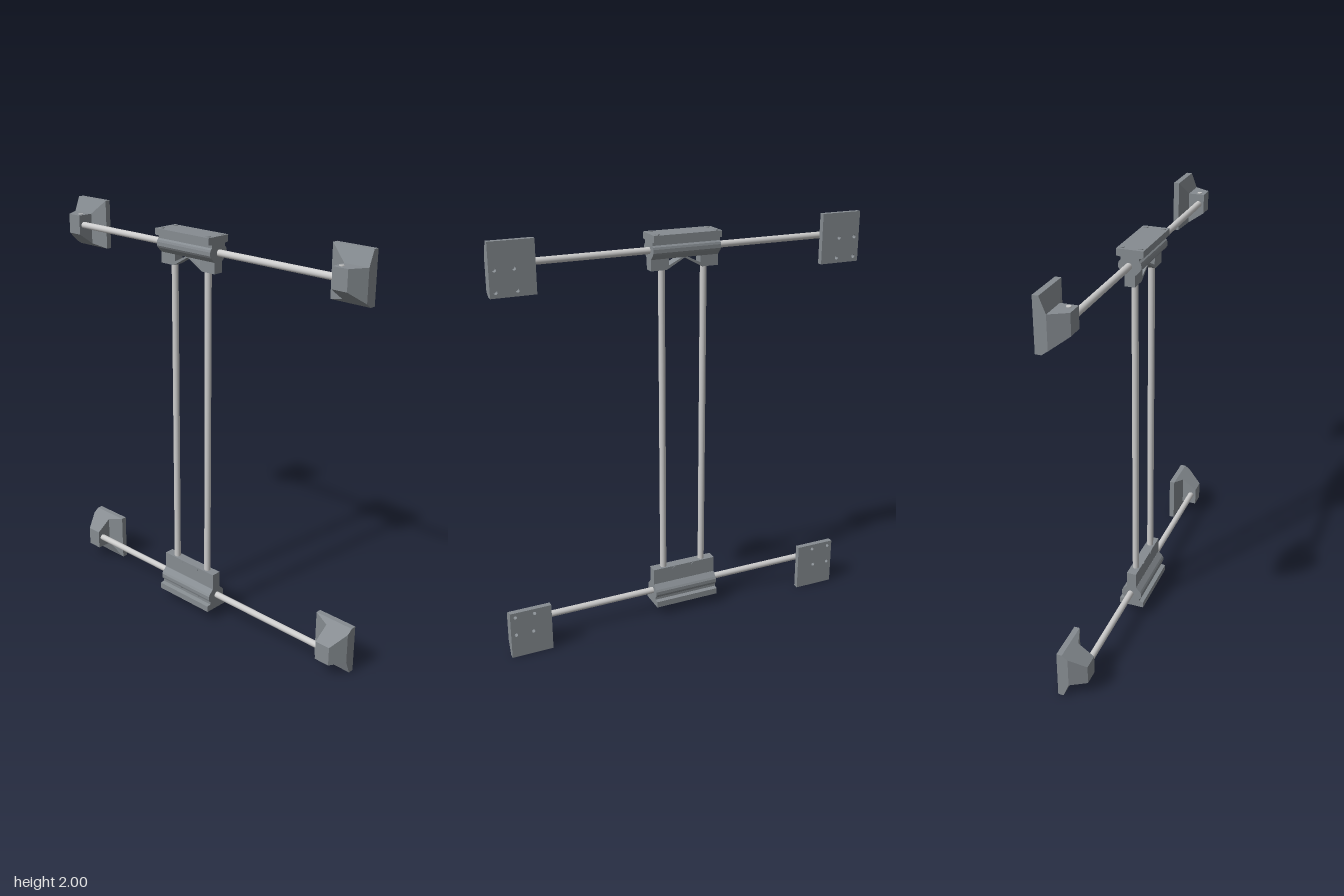
import * as THREE from 'three';

const dark = new THREE.MeshStandardMaterial({ color: 0x868c91, flatShading: true });
const grey = new THREE.MeshStandardMaterial({ color: 0xcccccc });

function add(parent, name, geometry, material, x = 0, y = 0, z = 0) {
  const mesh = new THREE.Mesh(geometry, material);
  mesh.name = name;
  mesh.position.set(x, y, z);
  parent.add(mesh);
  return mesh;
}

const shapeOf = (pts) => new THREE.Shape(pts.map(([x, y]) => new THREE.Vector2(x, y)));
const extrude = (shape, depth) =>
  new THREE.ExtrudeGeometry(shape, { depth, bevelEnabled: false, curveSegments: 8 });

// Solid through rectangles [x0, x1, y0, y1, z], ordered from back to front
function loftRects(rects) {
  const pos = [], idx = [];
  for (const [x0, x1, y0, y1, z] of rects) pos.push(x0, y0, z, x1, y0, z, x1, y1, z, x0, y1, z);
  for (let r = 0; r < rects.length - 1; r++) {
    for (let i = 0; i < 4; i++) {
      const a = r * 4 + i, b = r * 4 + (i + 1) % 4;
      idx.push(a, b, b + 4, a, b + 4, a + 4);
    }
  }
  const e = (rects.length - 1) * 4;
  idx.push(0, 2, 1, 0, 3, 2, e, e + 1, e + 2, e, e + 2, e + 3);
  const g = new THREE.BufferGeometry();
  g.setAttribute('position', new THREE.Float32BufferAttribute(pos, 3));
  g.setIndex(idx);
  const flat = g.toNonIndexed();
  flat.computeVertexNormals();
  return flat;
}

// Wall pad: drilled back plate, shallow skirt and a sloping rod socket
function makePad(name, outer, side, upper) {
  const pad = new THREE.Group();
  pad.name = name;
  const X = (d) => outer - side * d; // distance inward from the outer edge
  const Y = (y) => (upper ? y : 2 - y);
  const rect = (d0, d1, y0, y1, z) => [
    Math.min(X(d0), X(d1)), Math.max(X(d0), X(d1)),
    Math.min(Y(y0), Y(y1)), Math.max(Y(y0), Y(y1)), z];

  const [x0, x1, y0, y1] = rect(0, 0.205, 1.76, 2, 0);
  const plate = shapeOf([[x0, y0], [x1, y0], [x1, y1], [x0, y1]]);
  for (const [d, y] of [[0.025, 1.88], [0.11, 1.88], [0.12, 1.785], [0.025, 1.785]]) {
    plate.holes.push(new THREE.Path().absarc(X(d), Y(y), 0.009, 0, Math.PI * 2, true));
  }
  add(pad, 'padPlate', extrude(plate, 0.027), dark, 0, 0, -0.087);
  add(pad, 'padSocket', loftRects([
    rect(0, 0.205, 1.76, 2, -0.06),
    rect(0, 0.124, 1.78, 1.93, -0.032),
    rect(0.046, 0.124, 1.835, 1.93, 0.046),
  ]), dark);
  add(pad, 'padScrew', new THREE.CylinderGeometry(0.011, 0.011, 0.006, 16), grey,
    X(0.1), Y(1.93), 0.016);
  return pad;
}

const LEFT = 0.135, RIGHT = -0.204, WIDTH = LEFT - RIGHT, MID = (LEFT + RIGHT) / 2, Z = 0.023;

// Clamp body: one profile, measured from its outer flange face, run along x
function makeClamp(name, base, dir) {
  const clamp = new THREE.Group();
  clamp.name = name;
  const half = [[0, 0.063], [0.031, 0.063], [0.035, 0.042], [0.048, 0.042], [0.055, 0.05],
    [0.065, 0.053], [0.082, 0.053], [0.092, 0.047], [0.115, 0.025]];
  const pts = [
    ...half.map(([t, w]) => [Z + w, base + dir * t]),
    ...half.slice().reverse().map(([t, w]) => [Z - w, base + dir * t]),
  ];
  const body = extrude(shapeOf(pts), WIDTH);
  body.rotateY(-Math.PI / 2);
  add(clamp, 'clampBody', body, dark, LEFT);
  for (const x of [-0.18, 0.112]) {
    for (const z of [-0.021, 0.064]) {
      add(clamp, 'clampScrew', new THREE.CylinderGeometry(0.012, 0.012, 0.006, 16), dark, x, base, z);
    }
  }
  return clamp;
}

export function createModel() {
  const model = new THREE.Group();
  model.name = 'rodFrame';

  // Four wall pads
  model.add(
    makePad('upperRightPad', -0.92, -1, true),
    makePad('upperLeftPad', 0.903, 1, true),
    makePad('lowerRightPad', -0.872, -1, false),
    makePad('lowerLeftPad', 0.914, 1, false));

  // Upper clamp with a notched and pierced foot
  const upper = makeClamp('upperClamp', 1.955, -1);
  const foot = shapeOf([[RIGHT, 1.788], [-0.124, 1.788], [MID, 1.838], [0.056, 1.788],
    [LEFT, 1.788], [LEFT, 1.87], [RIGHT, 1.87]]);
  for (const s of [-1, 1]) {
    foot.holes.push(new THREE.Path([[0.08, 1.84], [0.014, 1.84], [0.08, 1.808]]
      .map(([x, y]) => new THREE.Vector2(MID + s * x, y))));
  }
  add(upper, 'upperClampFoot', extrude(foot, 0.049), dark, 0, 0, Z - 0.0245);
  model.add(upper);

  // Lower clamp with a plain upright plate
  const lower = makeClamp('lowerClamp', 0.053, 1);
  add(lower, 'lowerClampPlate', new THREE.BoxGeometry(WIDTH, 0.11, 0.049), dark, MID, 0.195, Z);
  for (const x of [-0.087, 0.02]) {
    const screw = add(lower, 'plateScrew', new THREE.CylinderGeometry(0.011, 0.011, 0.053, 16),
      dark, x, 0.237, Z);
    screw.rotation.x = Math.PI / 2;
  }
  model.add(lower);

  // Rods
  const rod = (length) => new THREE.CylinderGeometry(0.016, 0.016, length, 24);
  for (const x of [-0.14, 0.073]) add(model, 'uprightRod', rod(1.7), grey, x, 1, Z);
  for (const [name, y, a, b] of [['upperCrossRod', 1.88, -0.85, 0.83], ['lowerCrossRod', 0.126, -0.8, 0.84]]) {
    const bar = add(model, name, rod(b - a), grey, (a + b) / 2, y, 0.018);
    bar.rotation.z = Math.PI / 2;
  }
  return model;
}
